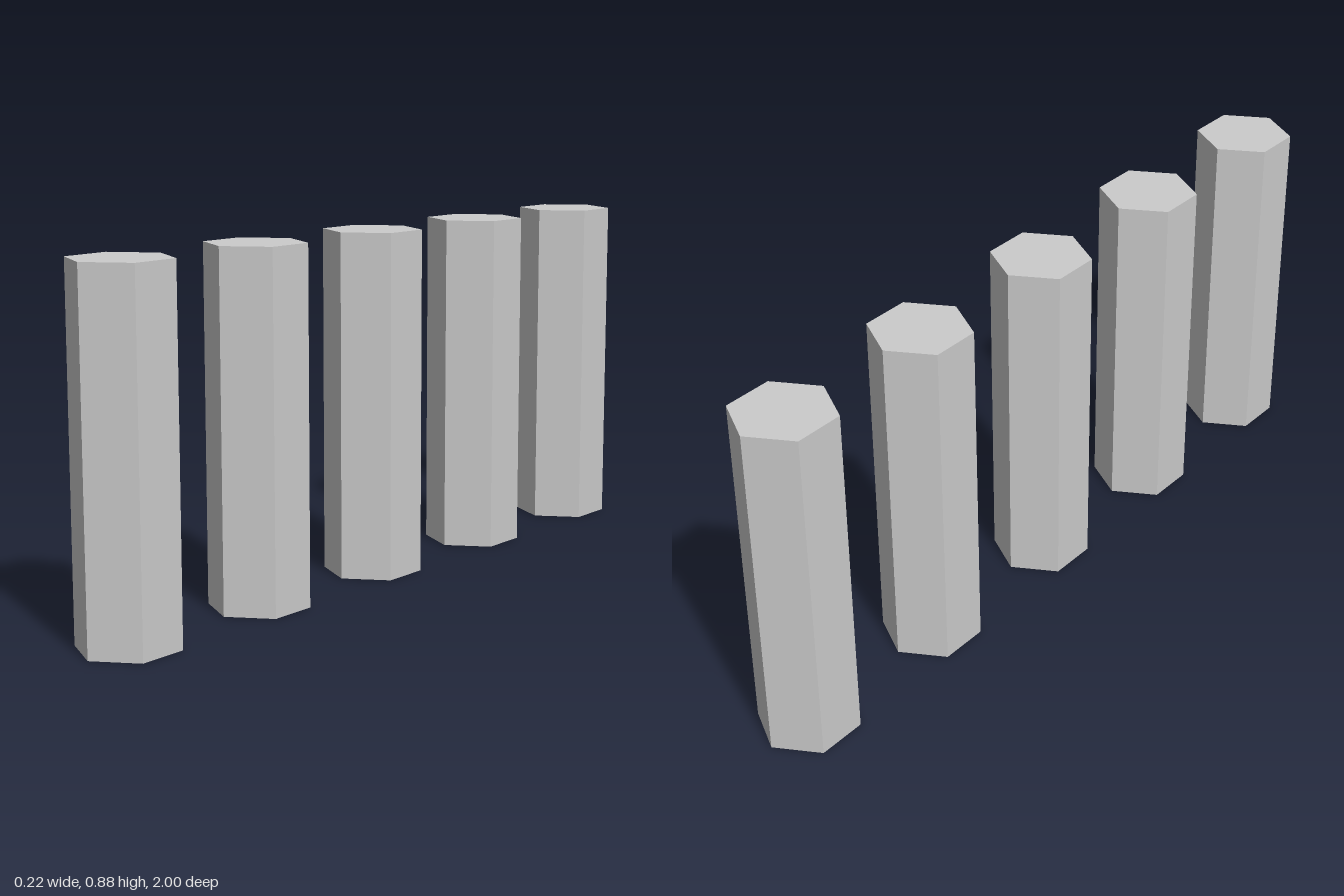
import * as THREE from 'three';

const COUNT = 5;
const RADIUS = 0.125;
const HEIGHT = 0.875;
const SPACING = (2 - 2 * RADIUS) / (COUNT - 1);

export function createModel() {
  const group = new THREE.Group();
  group.name = 'bollardRow';

  const material = new THREE.MeshStandardMaterial({ color: 0xcccccc, flatShading: true });

  // Hexagonal post with corners pointing along the row, standing on the ground
  const geometry = new THREE.CylinderGeometry(RADIUS, RADIUS, HEIGHT, 6);
  geometry.translate(0, HEIGHT / 2, 0);

  // Evenly spaced row from back to front
  for (let i = 0; i < COUNT; i++) {
    const post = new THREE.Mesh(geometry, material);
    post.name = `hexagonalPost${i + 1}`;
    post.position.z = (i - (COUNT - 1) / 2) * SPACING;
    group.add(post);
  }

  return group;
}
